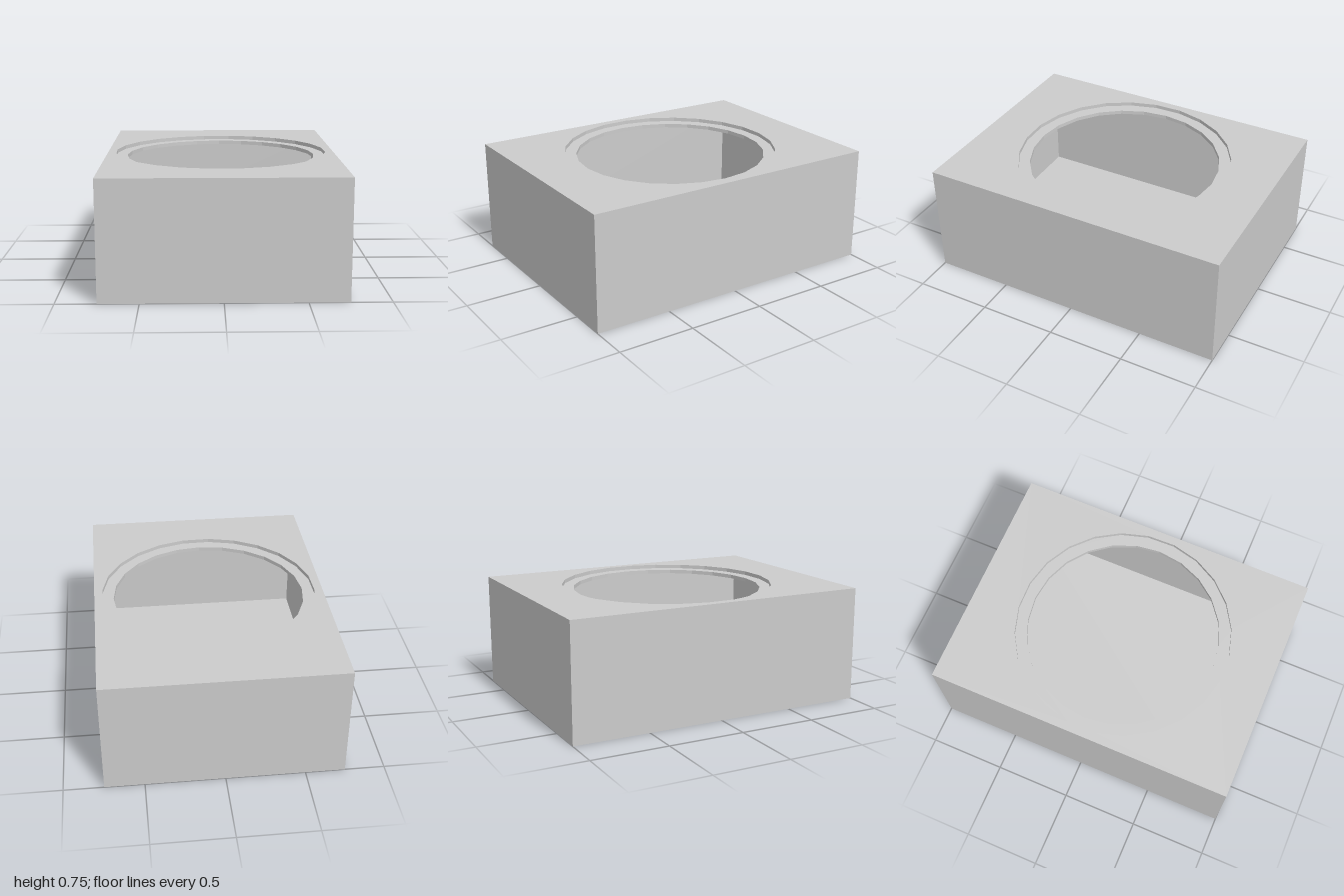
import * as THREE from 'three';
import { mergeGeometries } from 'three/addons/utils/BufferGeometryUtils.js';

const W = 1.5, D = 2, H = 0.75, T = 0.025; // outer size and wall thickness

// Closed outlines, counter-clockwise seen from above (shape y = -z)
const rect = (w, d) => [[-1, -1], [1, -1], [1, 1], [-1, 1]]
  .map(([x, y]) => new THREE.Vector2(x * w / 2, y * d / 2));
const ring = (r, turn = 0, n = 24) => Array.from({ length: n }, (_, i) => {
  const a = (i / n) * Math.PI * 2 + turn;
  return new THREE.Vector2(r * Math.cos(a), r * Math.sin(a));
});

// Horizontal face with an optional opening, facing up or down
function plate(outline, hole, y, up) {
  const shape = new THREE.Shape(outline);
  if (hole) shape.holes.push(new THREE.Path(hole));
  const g = new THREE.ShapeGeometry(shape);
  if (!up) g.setIndex(Array.from(g.index.array).reverse());
  g.rotateX(-Math.PI / 2).translate(0, y, 0);
  g.deleteAttribute('uv');
  const flat = g.toNonIndexed();
  flat.computeVertexNormals();
  return flat;
}

// Vertical wall along an outline, facing outward or inward
function wall(outline, y0, y1, outward) {
  const pos = [];
  outline.forEach((p, i) => {
    const q = outline[(i + 1) % outline.length];
    const [a, b] = outward ? [p, q] : [q, p];
    pos.push(a.x, y0, -a.y, b.x, y0, -b.y, b.x, y1, -b.y);
    pos.push(a.x, y0, -a.y, b.x, y1, -b.y, a.x, y1, -a.y);
  });
  const g = new THREE.BufferGeometry();
  g.setAttribute('position', new THREE.Float32BufferAttribute(pos, 3));
  g.computeVertexNormals();
  return g;
}

export function createModel() {
  const group = new THREE.Group();
  const material = new THREE.MeshStandardMaterial({ color: 0xcccccc, flatShading: true });
  const add = (name, parts) => {
    const mesh = new THREE.Mesh(mergeGeometries(parts), material);
    mesh.name = name;
    group.add(mesh);
  };

  const outer = rect(W, D);
  const inner = rect(W - 2 * T, D - 2 * T);
  const recess = ring(0.7, -Math.PI / 30);
  const opening = ring(0.625);

  // Outside of the box, with the round recess cut in its top
  add('outerShell', [
    plate(outer, null, 0, false),
    wall(outer, 0, H, true),
    plate(outer, recess, H, true),
  ]);

  // Stepped round rim
  add('rimLedge', [
    wall(recess, H - T, H, false),
    plate(recess, opening, H - T, true),
    wall(opening, H - 2 * T, H - T, false),
  ]);

  // Hollow inside: floor, walls and underside of the top
  add('cavity', [
    plate(inner, null, T, true),
    wall(inner, T, H - 2 * T, false),
    plate(inner, opening, H - 2 * T, false),
  ]);

  return group;
}
